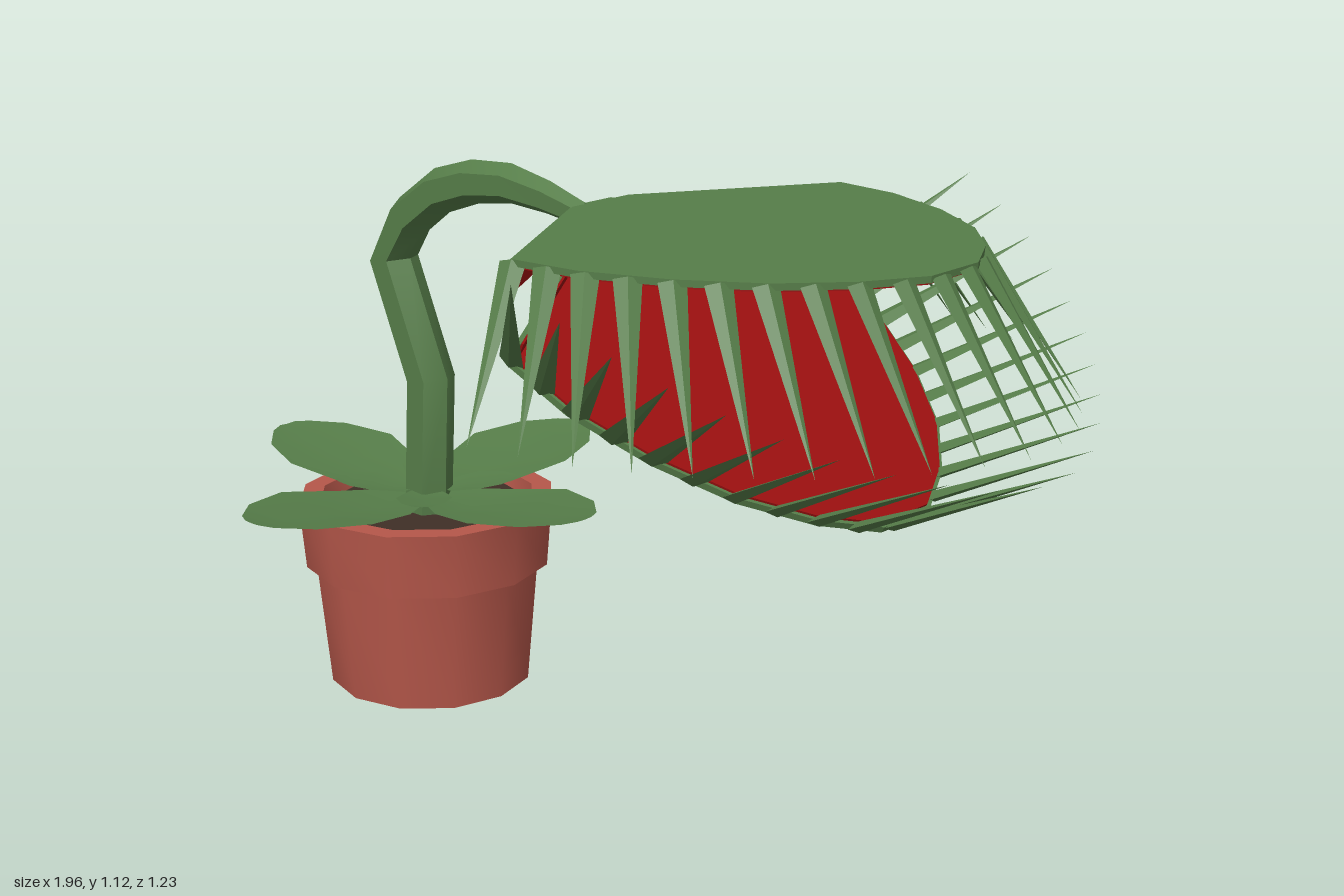
import * as THREE from 'three';
import { toCreasedNormals } from 'three/addons/utils/BufferGeometryUtils.js';

const mat = (name, color, extra = {}) => {
  const m = new THREE.MeshStandardMaterial({ color, ...extra });
  m.name = name;
  return m;
};

export function createModel() {
  const green = mat('leafGreen', 0x567d49);
  const leafMat = green;
  leafMat.side = THREE.DoubleSide;
  const red = mat('mouthRed', 0x9b1010);
  const clay = mat('terracotta', 0xb5574a);
  const soilMat = mat('soilBrown', 0x3f2f27);

  const model = new THREE.Group();
  model.name = 'pottedFlytrap';
  const potX = -0.545;

  const add = (parent, name, geometry, material) => {
    const mesh = new THREE.Mesh(geometry, material);
    mesh.name = name;
    parent.add(mesh);
    return mesh;
  };
  const grid = (rows, closed) => {
    // Skin a list of equal-length cross-sections
    const n = rows[0].length, pos = [], index = [];
    rows.forEach(r => r.forEach(p => pos.push(...p)));
    for (let i = 0; i < rows.length - 1; i++) {
      for (let j = 0; j < (closed ? n : n - 1); j++) {
        const k = (j + 1) % n;
        const a = i * n + j, b = i * n + k, c = b + n, d = a + n;
        index.push(a, b, c, a, c, d);
      }
    }
    const g = new THREE.BufferGeometry();
    g.setAttribute('position', new THREE.Float32BufferAttribute(pos, 3));
    g.setIndex(index);
    g.computeVertexNormals();
    return g;
  };

  // Pot with overhanging rim, and soil
  const profile = [[0, 0], [0.213, 0], [0.236, 0.26], [0.257, 0.26], [0.268, 0.395], [0.225, 0.395], [0.215, 0.34]]
    .map(([r, y]) => new THREE.Vector2(r, y));
  add(model, 'pot', toCreasedNormals(new THREE.LatheGeometry(profile, 12), 0.7), clay).position.x = potX;
  add(model, 'soil', new THREE.CylinderGeometry(0.218, 0.218, 0.02, 12), soilMat).position.set(potX, 0.355, 0);

  // Rosette: four large leaves and four small ones between them
  const leafRows = [ // radius, half width, midrib height, edge height
    [0.0, 0.03, 0, 0.004], [0.14, 0.105, 0.002, 0.014], [0.27, 0.14, 0.022, 0.036],
    [0.38, 0.105, 0.038, 0.046], [0.44, 0.05, 0.048, 0.051], [0.455, 0.02, 0.052, 0.053],
  ];
  const leafGeo = toCreasedNormals(
    grid(leafRows.map(([r, w, m, e]) => [[r, e, w], [r, m, 0], [r, e, -w]].reverse()).map(r => r.reverse()), false), 0.4);
  // Flip so the upper side is the front
  leafGeo.scale(1, 1, 1);
  for (let i = 0; i < 8; i++) {
    const small = i % 2 === 1;
    const leaf = add(model, small ? 'smallLeaf' : 'largeLeaf', leafGeo, leafMat);
    leaf.position.set(potX, small ? 0.41 : 0.398, 0);
    leaf.rotation.y = i * Math.PI / 4;
    if (small) leaf.scale.setScalar(0.41);
  }

  // Six-sided curved stem
  const path = [ // x, y, radius
    [-0.54, 0.36, 0.05], [-0.523, 0.65, 0.05], [-0.625, 0.885, 0.05], [-0.567, 0.98, 0.048], [-0.475, 1.045, 0.046],
    [-0.38, 1.075, 0.043], [-0.28, 1.085, 0.039], [-0.18, 1.072, 0.032], [-0.1, 1.054, 0.025], [-0.03, 1.04, 0.02],
  ];
  const rings = path.map(([x, y, r], i) => {
    const p = path[Math.max(i - 1, 0)], q = path[Math.min(i + 1, path.length - 1)];
    const t = new THREE.Vector2(q[0] - p[0], q[1] - p[1]).normalize();
    return Array.from({ length: 6 }, (_, j) => {
      const a = j * Math.PI / 3, c = r * Math.cos(a);
      return [x - t.y * c, y + t.x * c, r * Math.sin(a)];
    });
  });
  add(model, 'stem', toCreasedNormals(grid(rings, true), 0.5), green);
  add(model, 'hinge', new THREE.BoxGeometry(0.025, 0.09, 0.07), green).position.set(-0.04, 1.04, 0);

  // One jaw: flat plate lying along +x, mouth side facing -y
  const half = [[0.215, 0.44], [0.35, 0.425], [0.5, 0.365], [0.63, 0.28], [0.725, 0.175], [0.785, 0.065]];
  const rim = [...half, ...half.map(([x, z]) => [x, -z]).reverse()];
  const outline = [[0, 0.075], ...rim, [0, -0.075]];
  const plate = depth => new THREE.ExtrudeGeometry(
    new THREE.Shape(outline.map(p => new THREE.Vector2(...p))), { depth, bevelEnabled: false }).rotateX(Math.PI / 2);
  const shellGeo = plate(0.012), liningGeo = plate(0.004);
  const toothLength = 0.325;
  const toothGeo = toCreasedNormals(
    new THREE.ConeGeometry(0.024, toothLength, 4).translate(0, toothLength / 2, 0).scale(1, 1, 0.4), 0.2);
  const rimCurve = new THREE.CatmullRomCurve3(rim.map(([x, z]) => new THREE.Vector3(x, -0.006, z)));

  const makeJaw = name => {
    const jaw = new THREE.Group();
    jaw.name = name;
    add(jaw, 'jawShell', shellGeo, green);
    const lining = add(jaw, 'jawLining', liningGeo, red);
    lining.position.set(0.004, -0.012, 0);
    lining.scale.set(0.985, 1, 0.985);

    // Low walls along the straight edges near the hinge
    const corners = [[0.215, -0.44], [0, -0.075], [0, 0.075], [0.215, 0.44]];
    for (let i = 0; i < 3; i++) {
      const [ax, az] = corners[i], [bx, bz] = corners[i + 1];
      const length = Math.hypot(bx - ax, bz - az);
      const wall = new THREE.Group();
      wall.name = 'jawWall';
      wall.position.set((ax + bx) / 2, -0.027, (az + bz) / 2);
      wall.rotation.y = -Math.atan2(bz - az, bx - ax);
      add(wall, 'wallOutside', new THREE.BoxGeometry(length, 0.05, 0.008), green);
      add(wall, 'wallInside', new THREE.BoxGeometry(length * 0.98, 0.048, 0.004), red).position.z = -0.006;
      jaw.add(wall);
    }

    // Teeth fanning out around the rim
    for (const p of rimCurve.getSpacedPoints(21)) {
      const out = new THREE.Vector3(p.x - 0.04, 0, p.z).normalize();
      const dir = out.clone().multiplyScalar(0.195).setY(-0.265).normalize();
      const side = new THREE.Vector3(-out.z, 0, out.x);
      const tooth = add(jaw, 'tooth', toothGeo, green);
      tooth.quaternion.setFromRotationMatrix(
        new THREE.Matrix4().makeBasis(side, dir, side.clone().cross(dir)));
      tooth.position.copy(p).addScaledVector(out, -0.006);
    }
    model.add(jaw);
    return jaw;
  };
  makeJaw('upperJaw').position.set(-0.045, 1.085, 0);
  const lower = makeJaw('lowerJaw');
  lower.position.set(-0.03, 1.0, 0);
  lower.rotation.set(Math.PI, 0, THREE.MathUtils.degToRad(28));

  return model;
}
